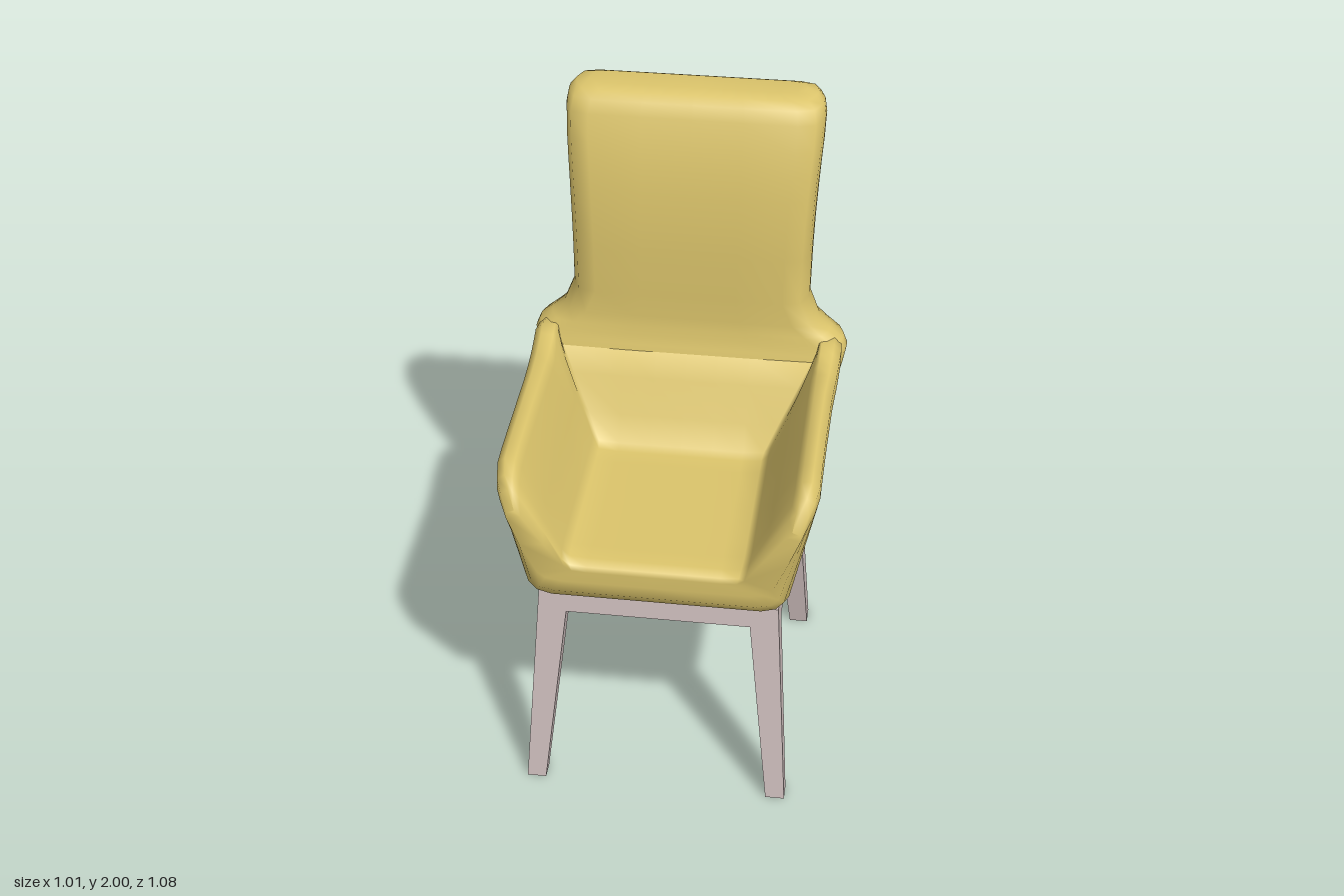
import * as THREE from 'three';

// Skin over mirrored half cross-sections (each an even number of points, first and last on x = 0), with capped ends
function loft(halves) {
  const h = halves[0].length, n = 2 * h - 2, pos = [], idx = [];
  for (const half of halves) {
    for (let j = 0; j < n; j++) {
      const p = half[j < h ? j : n - j];
      pos.push(j < h ? p[0] : -p[0], p[1], p[2]);
    }
  }
  for (let s = 0; s < halves.length - 1; s++) {
    for (let j = 0; j < n; j++) {
      const a = s * n + j, b = s * n + (j + 1) % n, c = b + n, d = a + n;
      idx.push(a, c, b, a, d, c);
    }
  }
  const tri = (flip, a, b, c) => (flip ? idx.push(a, c, b) : idx.push(a, b, c));
  for (const end of [0, 1]) {
    const base = end * (halves.length - 1) * n;
    for (const mirror of [false, true]) {
      const at = (j) => base + (mirror ? (n - j) % n : j);
      for (let j = 0; j < h / 2 - 1; j++) {
        const flip = mirror !== (end === 1);
        tri(flip, at(j), at(j + 1), at(h - 2 - j));
        tri(flip, at(j), at(h - 2 - j), at(h - 1 - j));
      }
    }
  }
  const g = new THREE.BufferGeometry();
  g.setAttribute('position', new THREE.Float32BufferAttribute(pos, 3));
  g.setIndex(idx);
  g.computeVertexNormals();
  return g;
}

// Cross-section of the seat tub: outer shell, arm top, inner wall, seat
const OUTER = [[0, 0], [0.33, 0], [0.375, 0.03], [0.4, 0.1], [0.445, 0.54], [0.48, 0.88], [0.478, 0.96], [0.455, 1]];
const INNER = [[0.425, 0.985], [0.405, 0.9], [0.34, 0.48], [0.285, 0.09], [0.262, 0.015], [0.2, 0], [0.1, 0], [0, 0]];
function tubSection([z, bottom, seat, top, inset, back]) {
  const slant = (y) => z - 0.154 * back * (y - 0.7);
  const outer = OUTER.map(([x, f]) => {
    const y = bottom + f * (top - bottom);
    return [x ? x - inset + 0.02 * back * f : 0, y, slant(y)];
  });
  const inner = INNER.map(([x, f], i) => {
    const y = seat + f * (top - seat);
    const rise = Math.max(0, seat - 0.88) * 0.5 * (1 - f);
    return [i < 5 ? x + rise - inset * 0.3 : x, y, slant(y)];
  });
  const pts = [...outer, ...inner];
  // the seat edge stands slightly behind the arm fronts
  if (z > 0.53) pts.forEach((p) => { p[2] -= 0.022 * (1 - THREE.MathUtils.smoothstep(p[1], 0.84, 0.95)); });
  return pts;
}

// Cross-section of the backrest: a rounded rectangle at height y
function backSection([y, w, front, rear]) {
  const zb = rear ?? -0.34 - 0.154 * (y - 0.7);
  const r = Math.min(0.06, (front - zb) * 0.35), mid = (front + zb) / 2;
  return [
    [0, zb], [w * 0.5, zb], [w - 0.06, zb], [w - 0.015, zb + r * 0.25], [w, zb + r], [w, mid - 0.005],
    [w, mid + 0.005], [w - 0.005, front - r], [w - 0.025, front - r * 0.25], [w - 0.08, front], [w * 0.4, front], [0, front],
  ].map(([x, z]) => [x, y, z]);
}

// Box with separate [x0, x1, z0, z1] extents at its bottom and top
function taperedBox(y0, y1, low, high) {
  const g = new THREE.BoxGeometry(1, 1, 1), p = g.attributes.position;
  for (let i = 0; i < p.count; i++) {
    const up = p.getY(i) > 0, e = up ? high : low;
    p.setXYZ(i, e[p.getX(i) > 0 ? 1 : 0], up ? y1 : y0, e[p.getZ(i) > 0 ? 3 : 2]);
  }
  g.computeVertexNormals();
  return g;
}

export function createModel() {
  const group = new THREE.Group();
  const fabric = new THREE.MeshStandardMaterial({ color: 0xdbc46b });
  fabric.name = 'mustardFabric';
  const wood = new THREE.MeshStandardMaterial({ color: 0xcdbdbc });
  wood.name = 'paleWood';
  const add = (name, geometry, material) => {
    const mesh = new THREE.Mesh(geometry, material);
    mesh.name = name;
    group.add(mesh);
  };

  // Seat and arms, front to back: z, bottom, seat height, arm top, inset, backward slant
  add('seatAndArms', loft([
    [0.545, 0.81, 0.85, 1.08, 0.045, 0],
    [0.522, 0.77, 0.87, 1.135, 0.025, 0],
    [0.49, 0.73, 0.88, 1.165, 0.01, 0],
    [0.43, 0.7, 0.88, 1.183, 0, 0],
    [0.36, 0.7, 0.88, 1.192, 0, 0],
    [0.2, 0.7, 0.88, 1.198, 0, 0],
    [0, 0.7, 0.88, 1.2, 0, 0.1],
    [-0.06, 0.7, 0.88, 1.2, 0, 0.25],
    [-0.09, 0.7, 0.89, 1.2, 0, 0.35],
    [-0.13, 0.7, 0.97, 1.205, 0, 0.45],
    [-0.17, 0.7, 1.08, 1.215, 0, 0.55],
    [-0.2, 0.7, 1.16, 1.225, 0, 0.65],
    [-0.26, 0.7, 1.17, 1.215, 0.005, 0.75],
    [-0.29, 0.7, 1.15, 1.19, 0.02, 0.8],
  ].map(tubSection)), fabric);

  // Backrest with shoulders, bottom to top: y, half width, front z, rear z
  add('backrest', loft([
    [0.7, 0.36, -0.2], [0.715, 0.385, -0.2], [0.75, 0.405, -0.2], [0.97, 0.453, -0.2],
    [1.13, 0.494, -0.235], [1.175, 0.503, -0.25], [1.205, 0.49, -0.257], [1.235, 0.45, -0.262],
    [1.27, 0.41, -0.267], [1.35, 0.377, -0.267], [1.5, 0.379, -0.27], [1.6, 0.382, -0.276],
    [1.7, 0.387, -0.288], [1.78, 0.392, -0.302], [1.85, 0.397, -0.32], [1.93, 0.4, -0.345],
    [1.97, 0.393, -0.365], [1.99, 0.372, -0.39, -0.535], [2, 0.335, -0.425, -0.512],
  ].map(backSection)), fabric);

  // Base slab and four splayed, tapered legs
  add('baseFrame', taperedBox(0.63, 0.7, [-0.3745, 0.3745, -0.3435, 0.449], [-0.37, 0.37, -0.335, 0.44]), wood);
  for (const side of [1, -1]) {
    const ends = (inX, outX, z0, z1) => (side > 0 ? [inX, outX, z0, z1] : [-outX, -inX, z0, z1]);
    const name = side > 0 ? 'Left' : 'Right';
    add('frontLeg' + name, taperedBox(0, 0.63, ends(0.355, 0.415, 0.475, 0.53), ends(0.285, 0.3745, 0.37, 0.449)), wood);
    add('rearLeg' + name, taperedBox(0, 0.63, ends(0.355, 0.415, -0.42, -0.355), ends(0.285, 0.3745, -0.3435, -0.25)), wood);
  }
  return group;
}
